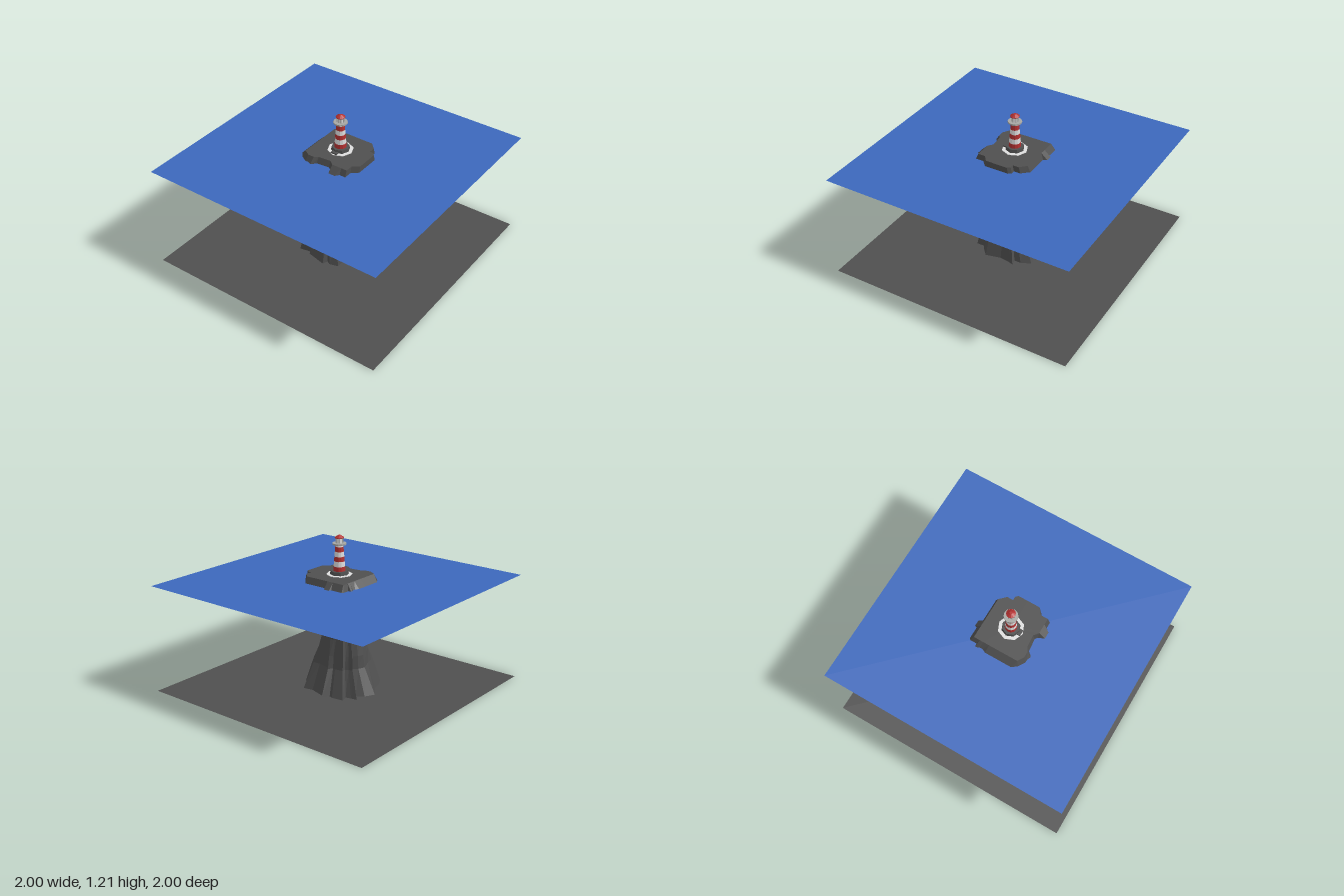
import * as THREE from 'three';

const mat = (name, color, extra = {}) => {
  const m = new THREE.MeshStandardMaterial({ color, flatShading: true, ...extra });
  m.name = name;
  return m;
};

// Plan outline of the craggy islet at the waterline, as x, z pairs
const OUTLINE = [
  [-0.2, -0.15], [-0.17, -0.2], [-0.1, -0.25], [0, -0.25], [0.07, -0.25], [0.12, -0.225],
  [0.15, -0.24], [0.155, -0.2], [0.2, -0.2], [0.22, -0.18], [0.22, -0.1], [0.25, -0.09],
  [0.25, -0.05], [0.2, -0.03], [0.2, 0.08], [0.2, 0.15], [0.15, 0.2], [0.1, 0.2],
  [0.1, 0.23], [0.08, 0.25], [0, 0.25], [-0.1, 0.25], [-0.14, 0.2], [-0.2, 0.2],
  [-0.2, 0.15], [-0.25, 0.1], [-0.25, 0.07], [-0.17, 0.03], [-0.18, -0.07], [-0.22, -0.1],
];

// Levels: height, reach to -x, +x, +z, -z, roundness (1 = fluted oval), flute depth
const LEVELS = [
  [0, 0.3, 0.3, 0.25, 0.35, 0.85, 0.17],
  [0.2, 0.25, 0.2, 0.2, 0.25, 0.7, 0.12],
  [0.3, 0.2, 0.18, 0.155, 0.235, 0.7, 0.08],
  [0.43, 0.16, 0.16, 0.11, 0.21, 0.6, 0.04],
  [0.5, 0.18, 0.2, 0.14, 0.2, 0.5, 0.02],
  [0.6, 0.23, 0.25, 0.2, 0.25, 0.35, 0],
  [0.7, 0.3, 0.25, 0.2, 0.3, 0.2, 0],
  [0.8, 0.3, 0.3, 0.25, 0.3, 0, 0],
];

function ring([y, xl, xr, zf, zb, round, flute]) {
  const pts = OUTLINE.map(([x, z], i) => {
    const a = Math.atan2(z, x);
    const r = 1 - flute * ((i * 7) % 3) / 2;
    return [
      (x / 0.25 * (1 - round) + Math.cos(a) * round) * r,
      (z / 0.25 * (1 - round) + Math.sin(a) * round) * r,
    ];
  });
  // Stretch each side to its reach
  const xs = pts.map(p => p[0]), zs = pts.map(p => p[1]);
  const x0 = -Math.min(...xs), x1 = Math.max(...xs), z0 = -Math.min(...zs), z1 = Math.max(...zs);
  return pts.map(([x, z]) => [x < 0 ? x / x0 * xl : x / x1 * xr, y, z < 0 ? z / z0 * zb : z / z1 * zf]);
}

function rockGeometry() {
  const clamp = THREE.MathUtils.clamp;
  const rings = LEVELS.map(ring);
  rings.push(OUTLINE.map(([x, z]) => [clamp(x, -0.2, 0.2), 0.9, clamp(z, -0.2, 0.25)]));
  const n = OUTLINE.length, index = [];
  for (let l = 0; l < rings.length - 1; l++) {
    for (let i = 0; i < n; i++) {
      const j = (i + 1) % n;
      const a = l * n + i, b = l * n + j, c = a + n, d = b + n;
      index.push(a, c, b, b, c, d);
    }
  }
  // Flat summit
  const top = (rings.length - 1) * n, centre = rings.length * n;
  for (let i = 0; i < n; i++) index.push(centre, top + (i + 1) % n, top + i);
  const g = new THREE.BufferGeometry();
  g.setAttribute('position', new THREE.Float32BufferAttribute([...rings.flat(2), 0, 0.9, 0], 3));
  g.setIndex(index);
  g.computeVertexNormals();
  return g;
}

export function createModel() {
  const group = new THREE.Group();
  const rock = mat('rock grey', 0x4f4f4f, { side: THREE.DoubleSide });
  const water = mat('sea blue', 0x3c68bc, { side: THREE.DoubleSide });
  const white = mat('white', 0xdedede);
  const red = mat('red', 0xb23030);
  const grey = mat('pale grey', 0xa8a8a4);

  const add = (parent, name, geometry, material, y = 0) => {
    const m = new THREE.Mesh(geometry, material);
    m.name = name;
    m.position.y = y;
    parent.add(m);
    return m;
  };

  // Sea surface and sea floor sheets
  const sheet = () => new THREE.PlaneGeometry(2, 2).rotateX(-Math.PI / 2);
  add(group, 'seaFloor', sheet(), rock);
  add(group, 'seaSurface', sheet(), water, 0.85);
  add(group, 'rockIsland', rockGeometry(), rock);

  const house = new THREE.Group();
  house.name = 'lighthouse';
  group.add(house);
  const drum = (name, y0, y1, r0, r1, material, sides = 12) =>
    add(house, name, new THREE.CylinderGeometry(r1, r0, y1 - y0, sides), material, (y0 + y1) / 2);

  // Paved apron and stepped plinth
  drum('apron', 0.899, 0.904, 0.1, 0.1, white, 8);
  drum('plinth', 0.9, 0.93, 0.073, 0.068, rock, 8);
  const step = add(house, 'doorStep', new THREE.BoxGeometry(0.04, 0.014, 0.05), rock, 0.907);
  step.position.x = -0.07;

  // Tapering tower in alternating bands
  const bands = [0.93, 0.965, 1.005, 1.042, 1.08, 1.118, 1.137];
  const radius = y => THREE.MathUtils.mapLinear(y, 0.93, 1.137, 0.047, 0.03);
  for (let i = 0; i < bands.length - 1; i++) {
    drum('towerBand', bands[i], bands[i + 1], radius(bands[i]), radius(bands[i + 1]), i % 2 ? white : red);
  }

  // Gallery, lantern room with posts, and roof
  drum('gallery', 1.134, 1.146, 0.054, 0.054, grey);
  drum('lantern', 1.146, 1.186, 0.026, 0.026, white, 8);
  for (let i = 0; i < 8; i++) {
    const a = (i / 8) * Math.PI * 2;
    const post = add(house, 'lanternPost', new THREE.BoxGeometry(0.005, 0.04, 0.005), grey, 1.166);
    post.position.x = Math.sin(a) * 0.027;
    post.position.z = Math.cos(a) * 0.027;
    post.rotation.y = a;
  }
  drum('roofRim', 1.184, 1.189, 0.035, 0.036, red);
  drum('roof', 1.189, 1.206, 0.036, 0.01, red);
  return group;
}
